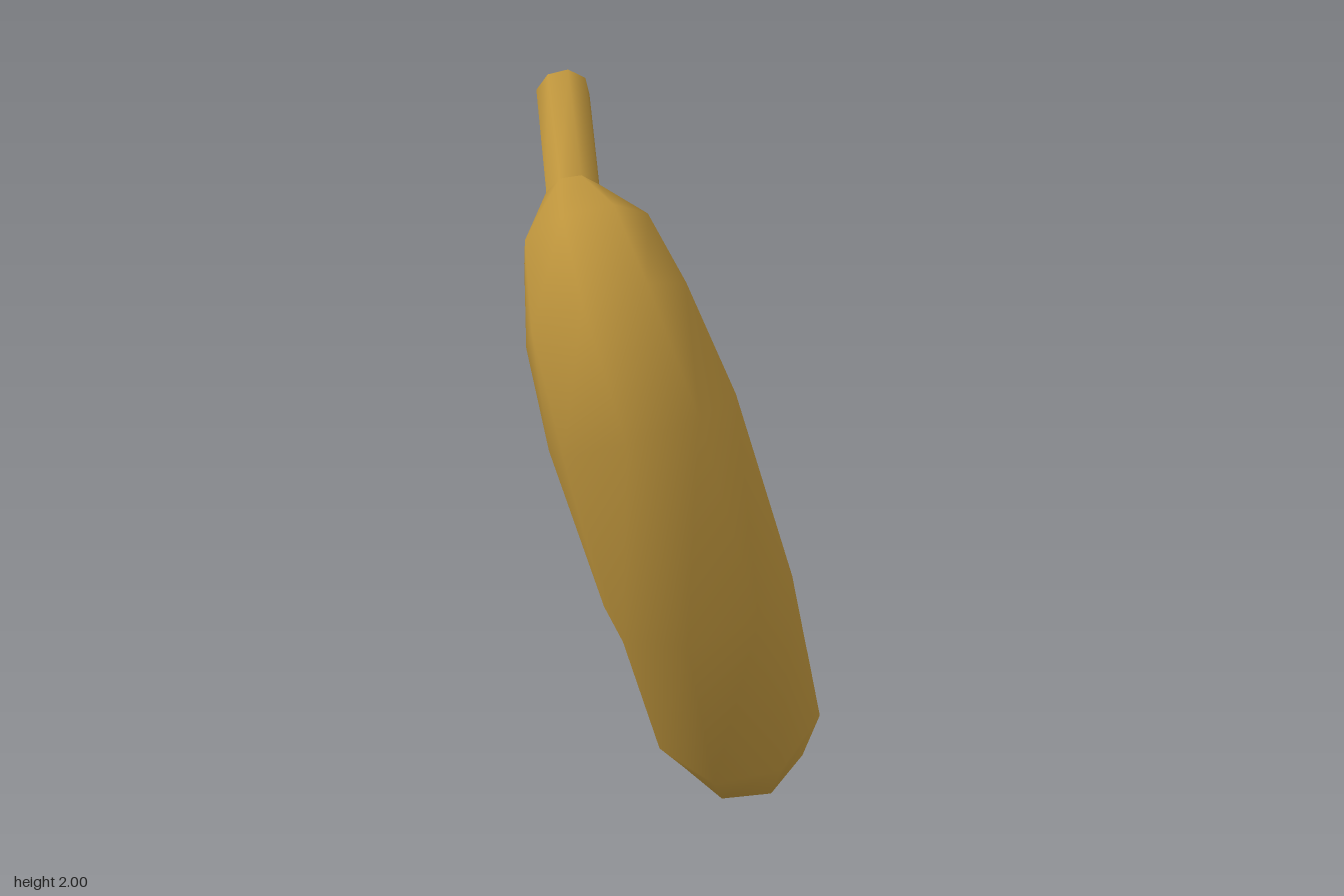
import * as THREE from 'three';

const SIDES = 8;

// Points of one ring: centre, axis direction and radius
function ringPoints({ c, n, r }) {
  const axis = new THREE.Vector3(...n).normalize();
  const u = new THREE.Vector3(1, 0, 0);
  u.addScaledVector(axis, -u.dot(axis)).normalize();
  const v = new THREE.Vector3().crossVectors(axis, u);
  const points = [];
  for (let i = 0; i < SIDES; i++) {
    const a = (i / SIDES) * Math.PI * 2;
    points.push(new THREE.Vector3(...c)
      .addScaledVector(u, Math.cos(a) * r)
      .addScaledVector(v, Math.sin(a) * r));
  }
  return points;
}

// Smooth skin through a list of rings, with an optional rounded start
function loft(rings, startPoint) {
  const points = rings.flatMap(ringPoints);
  const index = [];
  for (let k = 0; k < rings.length - 1; k++) {
    for (let i = 0; i < SIDES; i++) {
      const j = (i + 1) % SIDES;
      const a = k * SIDES + i, b = k * SIDES + j;
      index.push(a, b, b + SIDES, a, b + SIDES, a + SIDES);
    }
  }
  if (startPoint) {
    const centre = points.length;
    points.push(new THREE.Vector3(...startPoint));
    for (let i = 0; i < SIDES; i++) index.push(centre, (i + 1) % SIDES, i);
  }
  const geometry = new THREE.BufferGeometry().setFromPoints(points);
  geometry.setIndex(index);
  geometry.computeVertexNormals();
  return geometry;
}

// Flat end facing along the ring's axis
function cap(ring) {
  const geometry = new THREE.BufferGeometry().setFromPoints(ringPoints(ring));
  const index = [];
  for (let i = 1; i < SIDES - 1; i++) index.push(0, i, i + 1);
  geometry.setIndex(index);
  geometry.computeVertexNormals();
  return geometry;
}

export function createModel() {
  const group = new THREE.Group();
  group.name = 'banana';
  const peel = new THREE.MeshStandardMaterial({ color: 0xbd943c });
  peel.name = 'ripe yellow peel';

  const add = (name, geometry) => {
    const mesh = new THREE.Mesh(geometry, peel);
    mesh.name = name;
    group.add(mesh);
  };

  // Rings from the blossom tip up to the stem
  const stemBase = { c: [-0.085, 1.78, -0.175], n: [0.45, 0.42, -0.79], r: 0.073 };
  const stemTop = { c: [0.135, 1.93, -0.53], n: [0.45, 0.3, -0.84], r: 0.073 };
  const bodyRings = [
    { c: [0.372, 0.058, 0.025], n: [-0.6, 0.6, 0.53], r: 0.073 },
    { c: [0.255, 0.205, 0.125], n: [-0.57, 0.62, 0.53], r: 0.18 },
    { c: [0.15, 0.4, 0.22], n: [-0.53, 0.73, 0.43], r: 0.24 },
    { c: [-0.05, 0.83, 0.31], n: [-0.27, 0.96, -0.08], r: 0.253 },
    { c: [-0.185, 1.32, 0.25], n: [-0.12, 0.92, -0.37], r: 0.25 },
    { c: [-0.2, 1.57, 0.12], n: [0.05, 0.78, -0.62], r: 0.22 },
    { c: [-0.152, 1.72, -0.03], n: [0.2, 0.68, -0.7], r: 0.172 },
    stemBase,
  ];

  add('fruit body', loft(bodyRings, [0.378, 0.05, 0.018]));
  add('stem', loft([stemBase, stemTop]));
  add('stem end', cap(stemTop));
  return group;
}
